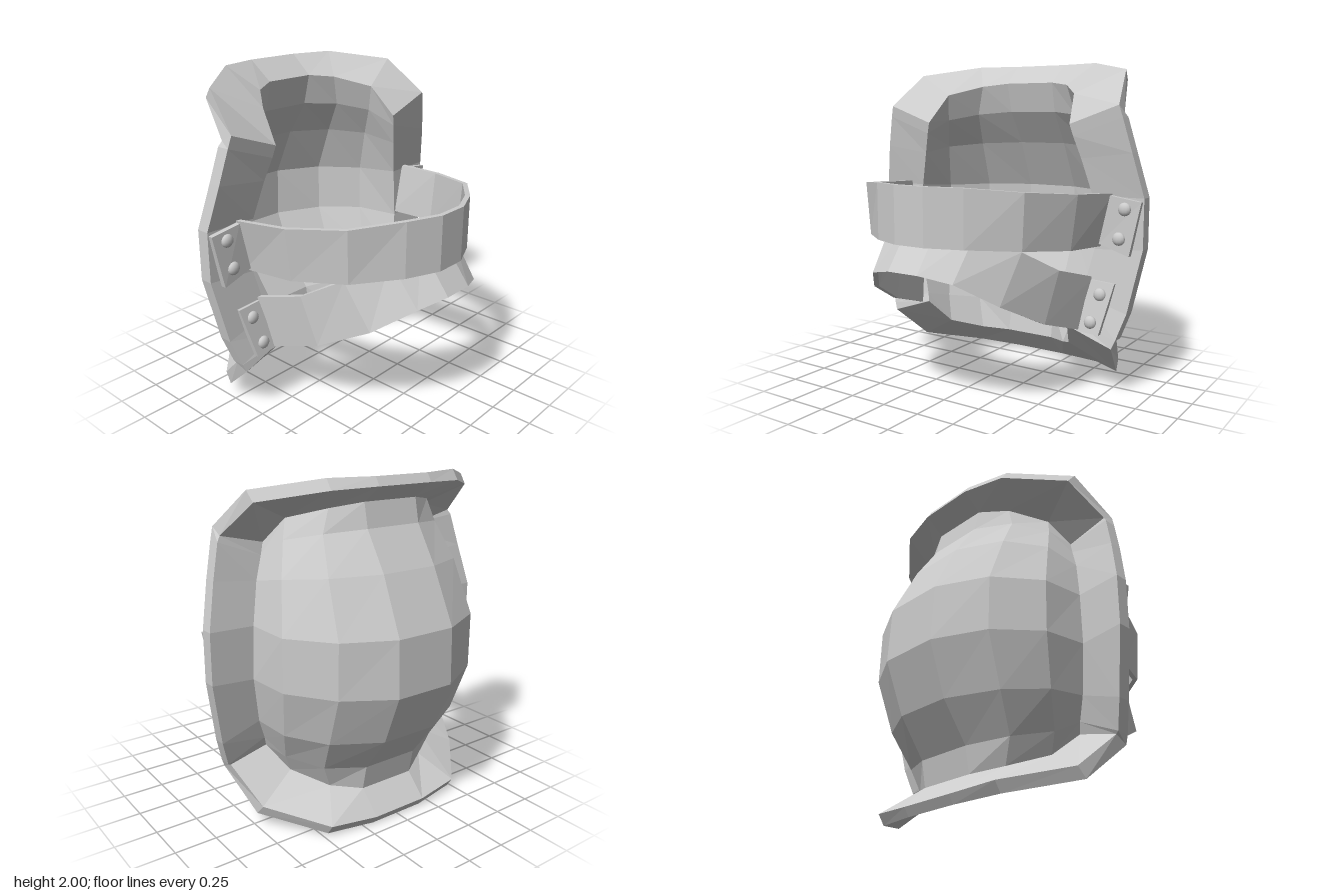
import * as THREE from 'three';

const mat = new THREE.MeshStandardMaterial({ color: 0xcccccc, flatShading: true, side: THREE.DoubleSide });
const smooth = new THREE.MeshStandardMaterial({ color: 0xcccccc });

const mirror = ([x, y, z]) => [-x, y, z];
// right-half run of points completed by its mirror image, running from -x to +x
const fullRow = (half) => [...half.map(mirror).reverse(), ...half];
// right-half loop (top to bottom) closed by its mirror image
const fullLoop = (half) => [...half, ...half.map(mirror).reverse()];

// Skin a grid of points; section = closed cross-section, ring = closed along the run
function loft(name, rows, { section = false, ring = false, flip = false } = {}) {
  const n = rows.length, m = rows[0].length, pos = [];
  const quad = (a, b, c, d) => {
    const q = flip ? [a, d, c, b] : [a, b, c, d];
    for (const k of [0, 1, 2, 0, 2, 3]) pos.push(...q[k]);
  };
  for (let i = 0; i < (ring ? n : n - 1); i++) {
    for (let j = 0; j < (section ? m : m - 1); j++) {
      const r = rows[i], s = rows[(i + 1) % n], k = (j + 1) % m;
      quad(r[j], s[j], s[k], r[k]);
    }
  }
  if (section && !ring) {
    quad(...rows[0]);
    quad(...[...rows[n - 1]].reverse());
  }
  const g = new THREE.BufferGeometry();
  g.setAttribute('position', new THREE.Float32BufferAttribute(pos, 3));
  g.computeVertexNormals();
  const mesh = new THREE.Mesh(g, mat);
  mesh.name = name;
  return mesh;
}

// Plate of given thickness between an upper and a lower path
function band(name, top, bottom, t) {
  const inset = (path, i) => {
    const p = path[Math.max(i - 1, 0)], q = path[Math.min(i + 1, path.length - 1)];
    const dx = q[0] - p[0], dz = q[2] - p[2], l = Math.hypot(dx, dz);
    return [path[i][0] + (dz / l) * t, path[i][1], path[i][2] - (dx / l) * t];
  };
  const rows = top.map((p, i) => [bottom[i], p, inset(top, i), inset(bottom, i)]);
  return loft(name, rows, { section: true });
}

export function createModel() {
  const model = new THREE.Group();
  model.name = 'jointGuard';

  // Outer skin of the domed shell, right half, rows from top to bottom
  const outer = [
    [[0.18, 1.86, -0.53], [0.35, 1.83, -0.44], [0.50, 1.77, -0.25], [0.57, 1.63, -0.13]],
    [[0.18, 1.72, -0.56], [0.40, 1.70, -0.46], [0.54, 1.66, -0.29], [0.59, 1.56, -0.14]],
    [[0.18, 1.50, -0.70], [0.45, 1.49, -0.58], [0.61, 1.47, -0.38], [0.64, 1.43, -0.17]],
    [[0.19, 1.18, -0.85], [0.48, 1.18, -0.71], [0.67, 1.18, -0.47], [0.69, 1.19, -0.21]],
    [[0.19, 0.85, -0.86], [0.48, 0.86, -0.71], [0.67, 0.87, -0.47], [0.70, 0.88, -0.21]],
    [[0.18, 0.55, -0.74], [0.46, 0.56, -0.60], [0.62, 0.58, -0.39], [0.65, 0.60, -0.17]],
    [[0.18, 0.33, -0.58], [0.41, 0.35, -0.48], [0.55, 0.39, -0.29], [0.60, 0.47, -0.14]],
    [[0.18, 0.18, -0.55], [0.35, 0.21, -0.45], [0.50, 0.28, -0.26], [0.58, 0.41, -0.12]],
  ];
  // Front inner edge of the flange, right half, clockwise
  const opening = [
    [0.17, 1.88, -0.47], [0.32, 1.86, -0.39], [0.47, 1.80, -0.20], [0.52, 1.62, -0.05],
    [0.54, 1.55, -0.06], [0.58, 1.42, -0.09], [0.64, 1.20, -0.13], [0.66, 0.88, -0.13],
    [0.60, 0.60, -0.09], [0.55, 0.46, -0.06],
    [0.53, 0.41, -0.04], [0.46, 0.25, -0.20], [0.32, 0.18, -0.39], [0.17, 0.155, -0.50],
  ];
  // Front outer edge of the flange
  const rimFront = [
    [0.18, 2.00, -0.62], [0.44, 2.00, -0.55], [0.76, 1.94, -0.30], [0.83, 1.73, -0.05],
    [0.85, 1.66, -0.06], [0.90, 1.46, -0.09], [0.96, 1.20, -0.14], [0.96, 0.90, -0.14],
    [0.89, 0.52, -0.09], [0.84, 0.36, -0.05],
    [0.82, 0.31, -0.04], [0.75, 0.09, -0.29], [0.47, 0.01, -0.60], [0.18, 0.00, -0.65],
  ];
  // Back outer edge: pushed back at the sides, towards the middle at the ends
  const ends = [[0, 0.05, 0.03], [0, 0.06, 0.04], [0.01, 0.06, 0.05], [0, 0.04, 0.08]];
  const rimBack = rimFront.map(([x, y, z], i) => {
    const [dx, dy, dz] = ends[Math.min(i, 13 - i)] ?? [0, 0, 0.08];
    return [x - dx, y - Math.sign(y - 1) * dy, z - dz];
  });
  const last = outer.length - 1;
  const border = [...outer[0], ...outer.slice(1, last).map((r) => r[3]), ...[...outer[last]].reverse()];

  // Inner skin: the outer skin drawn inwards, ending on the opening
  const inner = outer.map((row, i) => row.map(([x, y, z], j) => {
    if (i === 0) return opening[j];
    if (i === last) return opening[13 - j];
    if (j === 3) return opening[3 + i];
    return [x * 0.93, 1.02 + (y - 1.02) * 0.96, z + 0.045];
  }));
  model.add(loft('shellOuter', outer.map(fullRow), { flip: true }));
  model.add(loft('shellInner', inner.map(fullRow)));

  // Flange around the shell
  const loops = [rimFront, rimBack, border, opening].map(fullLoop);
  model.add(loft('flange', loops[0].map((_, i) => loops.map((l) => l[i])), { section: true, ring: true }));

  // Straps, right half from the middle to the end
  const straps = [
    {
      name: 'upperStrap',
      top: [[0.10, 1.30, 0.80], [0.30, 1.295, 0.71], [0.56, 1.27, 0.52], [0.71, 1.24, 0.20], [0.77, 1.22, -0.15]],
      bottom: [[0.10, 0.97, 0.80], [0.30, 0.965, 0.71], [0.54, 0.95, 0.51], [0.67, 0.92, 0.20], [0.70, 0.90, -0.15]],
      tabTop: [[0.765, 1.21, -0.10], [0.955, 1.18, -0.11]],
      tabBottom: [[0.70, 0.92, -0.10], [0.89, 0.86, -0.10]],
      rivets: [[0.855, 1.135, -0.105], [0.825, 0.96, -0.10]],
    },
    {
      name: 'lowerStrap',
      top: [[0.10, 1.09, 0.66], [0.30, 1.04, 0.60], [0.49, 0.93, 0.43], [0.60, 0.80, 0.20], [0.66, 0.71, -0.13]],
      bottom: [[0.10, 0.83, 0.86], [0.28, 0.79, 0.785], [0.45, 0.65, 0.59], [0.56, 0.50, 0.29], [0.62, 0.39, -0.06]],
      tabTop: [[0.66, 0.70, -0.09], [0.81, 0.69, -0.09]],
      tabBottom: [[0.60, 0.395, -0.02], [0.745, 0.385, -0.02]],
      rivets: [[0.725, 0.62, -0.075], [0.685, 0.455, -0.035]],
    },
  ];
  const rivetGeo = new THREE.SphereGeometry(0.04, 12, 8).scale(1, 1, 0.65);
  for (const s of straps) {
    model.add(band(s.name, fullRow(s.top), fullRow(s.bottom), 0.03));
    // Riveted tabs at both ends
    for (const side of [1, -1]) {
      const place = (path) => (side > 0 ? path : path.map(mirror).reverse());
      model.add(band(s.name + 'Tab', place(s.tabTop), place(s.tabBottom), 0.035));
      for (const [x, y, z] of s.rivets) {
        const rivet = new THREE.Mesh(rivetGeo, smooth);
        rivet.name = 'rivet';
        rivet.position.set(side * x, y, z);
        model.add(rivet);
      }
    }
  }
  return model;
}
